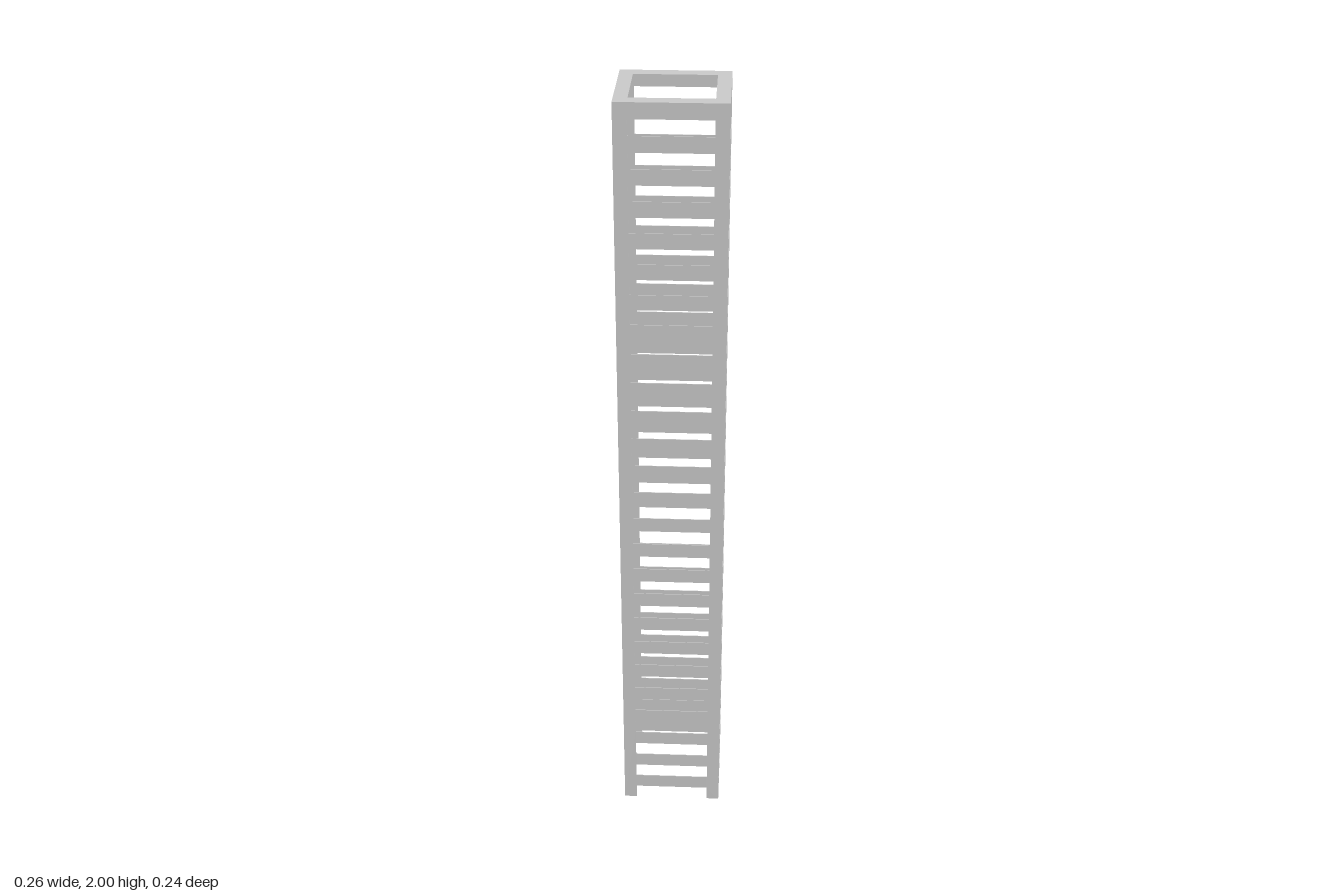
import * as THREE from 'three';

const H = 2, HX = 0.131, HZ = 0.121; // height and half sizes
const POST = 0.033, SHEET = 0.002; // post width and sheet thickness
const LEVELS = 26, PITCH = H / LEVELS, SLOT = PITCH / 2;

const points = (list) => list.map(([x, y]) => new THREE.Vector2(x, y));
const rectangle = (hw, y0, y1) => points([[-hw, y0], [hw, y0], [hw, y1], [-hw, y1]]);

// Thin sheet from an outline and rectangular holes, its outer face on z = 0
function sheet(outline, holes) {
  const shape = new THREE.Shape(outline);
  for (const hole of holes) shape.holes.push(new THREE.Path(hole.reverse()));
  const geometry = new THREE.ExtrudeGeometry(shape, { depth: SHEET, bevelEnabled: false });
  return geometry.translate(0, 0, -SHEET);
}

// A column of slots, the lowest starting at height y
function slots(hw, y) {
  return Array.from({ length: LEVELS - 1 }, (_, i) =>
    rectangle(hw, y + i * PITCH, y + i * PITCH + SLOT));
}

export function createModel() {
  const group = new THREE.Group();
  const material = new THREE.MeshStandardMaterial({ color: 0xcccccc, flatShading: true });
  const add = (name, geometry) => {
    const mesh = new THREE.Mesh(geometry, material);
    mesh.name = name;
    group.add(mesh);
    return mesh;
  };
  const ix = HX - POST, iz = HZ - POST;

  // Front and back walls: slotted sheets with a notch between the feet
  const notched = points([
    [-HX, 0], [-ix, 0], [-ix, SLOT], [ix, SLOT], [ix, 0], [HX, 0], [HX, H], [-HX, H],
  ]);
  const endWall = sheet(notched, slots(ix, PITCH));
  add('frontWall', endWall).position.z = HZ;
  const back = add('backWall', endWall);
  back.position.z = -HZ;
  back.rotation.y = Math.PI;

  // Side walls: slots half a step out of phase, with a closed bar at the bottom
  const sideWall = sheet(rectangle(HZ - SHEET, 0, H), slots(iz, SLOT));
  for (const [name, s] of [['leftWall', 1], ['rightWall', -1]]) {
    const wall = add(name, sideWall);
    wall.position.x = s * HX;
    wall.rotation.y = s * Math.PI / 2;
  }

  // Flat rim around the open top
  const rim = add('topRim', sheet(rectangle(HX, -HZ, HZ), [rectangle(ix, -iz, iz)]));
  rim.position.y = H;
  rim.rotation.x = -Math.PI / 2;
  return group;
}
